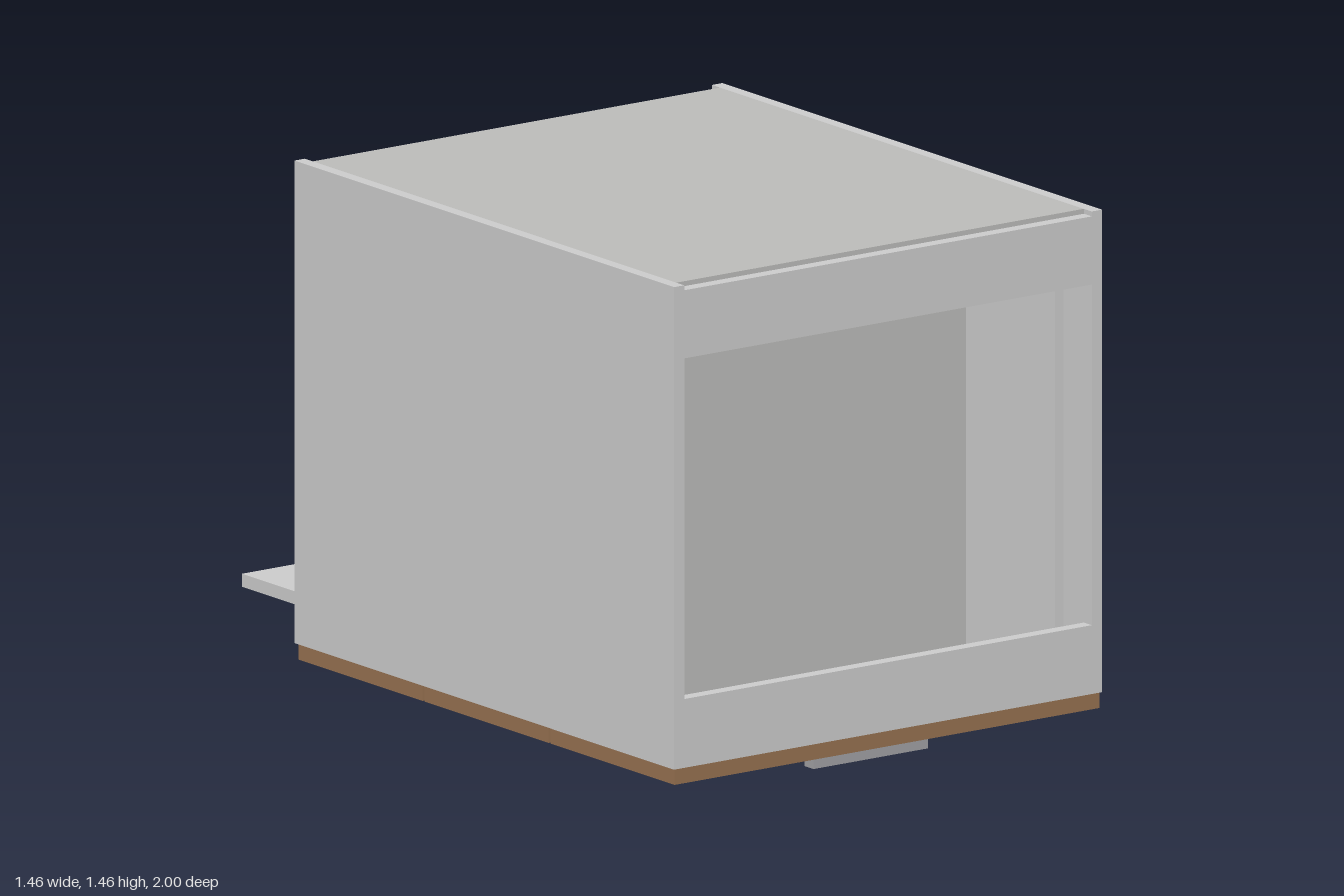
import * as THREE from 'three';

const carcassMat = new THREE.MeshStandardMaterial({ color: 0xcccccc });
const panelMat = new THREE.MeshStandardMaterial({ color: 0xbbbbb9 });
const woodMat = new THREE.MeshStandardMaterial({ color: 0x967150 });
const handleMat = new THREE.MeshStandardMaterial({ color: 0xa0a0a3 });

// Box given by its extents along each axis
function addBox(parent, name, [x0, x1], [y0, y1], [z0, z1], material = carcassMat) {
  const geometry = new THREE.BoxGeometry(x1 - x0, y1 - y0, z1 - z0);
  const mesh = new THREE.Mesh(geometry, material);
  mesh.position.set((x0 + x1) / 2, (y0 + y1) / 2, (z0 + z1) / 2);
  mesh.name = name;
  parent.add(mesh);
  return mesh;
}

// One drawer facing down: front board, handle and open box; zTop is the upper edge of its front
function makeDrawer(zTop, height) {
  const drawer = new THREE.Group();
  drawer.name = 'drawer';
  addBox(drawer, 'drawerFront', [-0.725, 0.725], [0.05, 0.095], [zTop - height, zTop], woodMat);
  addBox(drawer, 'handle', [-0.195, 0.195], [0, 0.05], [zTop - 0.117, zTop - 0.075], handleMat);

  const boxZ = [zTop - 0.51, zTop - 0.085];
  addBox(drawer, 'drawerSideLeft', [0.635, 0.665], [0.095, 1.32], boxZ);
  addBox(drawer, 'drawerSideRight', [-0.665, -0.635], [0.095, 1.32], boxZ);
  addBox(drawer, 'drawerBoxFront', [-0.635, 0.635], [0.095, 0.125], boxZ);
  addBox(drawer, 'drawerBoxBack', [-0.635, 0.635], [1.29, 1.32], boxZ);
  addBox(drawer, 'drawerBottom', [-0.635, 0.635], [0.125, 1.29], [zTop - 0.51, zTop - 0.495], panelMat);
  return drawer;
}

export function createModel() {
  const cabinet = new THREE.Group();
  cabinet.name = 'drawerCabinet';

  // Side panels
  addBox(cabinet, 'sideLeft', [0.695, 0.73], [0.095, 1.462], [-0.757, 1]);
  addBox(cabinet, 'sideRight', [-0.73, -0.695], [0.095, 1.462], [-0.757, 1]);

  // Base panel, two stretchers and the thin back panel
  const inner = [-0.695, 0.695];
  addBox(cabinet, 'basePanel', inner, [0.095, 1.448], [-0.757, -0.72]);
  addBox(cabinet, 'stretcherLower', inner, [0.095, 0.29], [0.963, 1]);
  addBox(cabinet, 'stretcherUpper', inner, [1.255, 1.448], [0.963, 1]);
  addBox(cabinet, 'backPanel', inner, [1.446, 1.462], [-0.72, 0.963], panelMat);

  // Plinth board below the base
  addBox(cabinet, 'plinth', [-0.73, 0.73], [0.205, 0.242], [-1, -0.757]);

  // Stack of three drawers
  for (let i = 0; i < 3; i++) cabinet.add(makeDrawer(0.995 - i * 0.583, 0.573));

  return cabinet;
}
